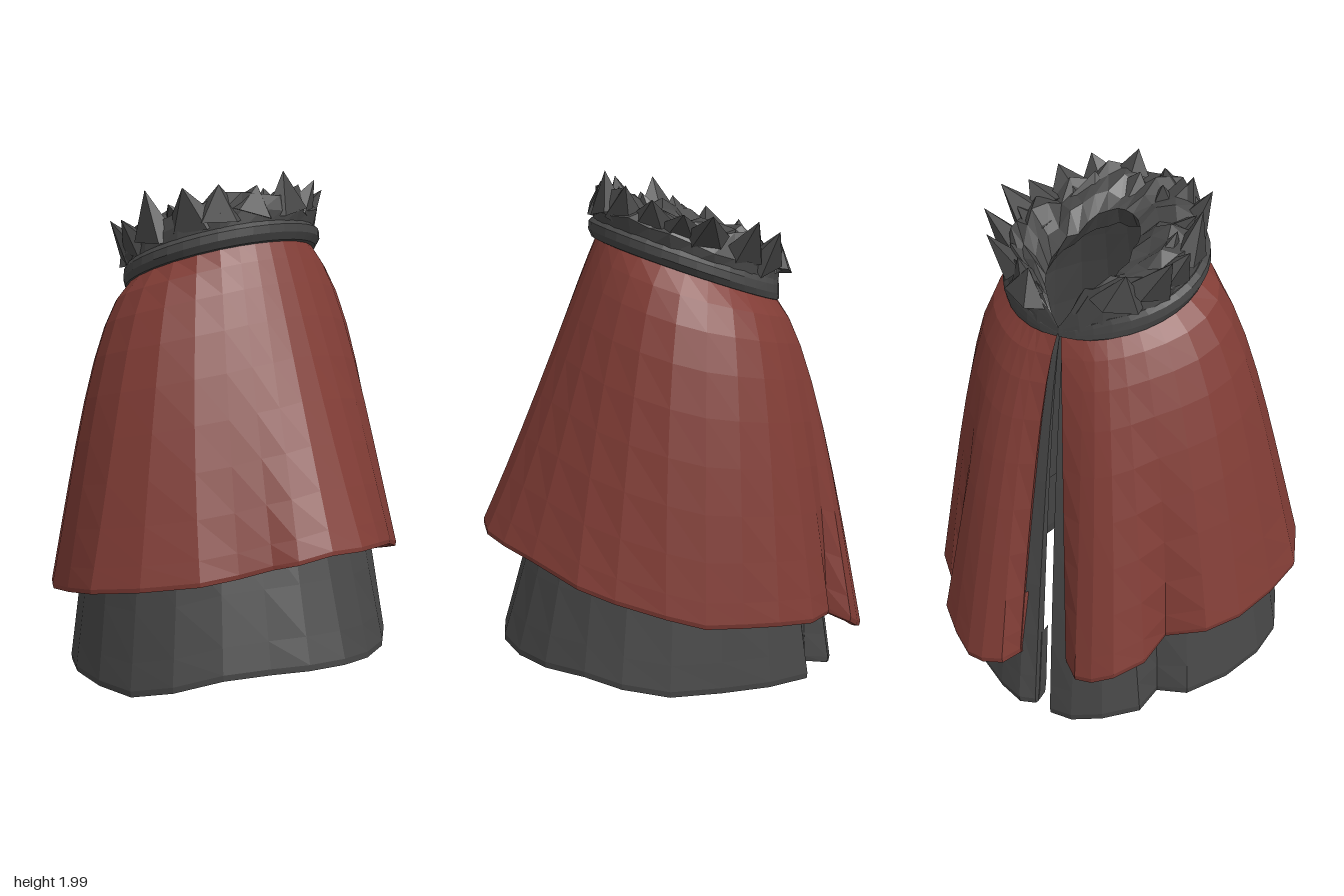
import * as THREE from 'three';
import { mergeGeometries } from 'three/addons/utils/BufferGeometryUtils.js';

const mix = (a, b, t) => a + (b - a) * t;
const TURN = Math.PI * 2;

// Height of the tilted neck plane
const neckY = z => 1.65 + 0.35 * z;

// Point on the neck ellipse, starting at the back opening and passing the model's left
function neck(phi, inset = 0) {
  return [0.06 + (0.37 - inset) * Math.sin(phi), -0.065 - (0.345 - inset) * Math.cos(phi)];
}

// Open surface through a list of rows of points, faceted
function sheet(rows) {
  const n = rows[0].length, pos = [], idx = [];
  rows.forEach(r => r.forEach(p => pos.push(...p)));
  for (let j = 0; j < rows.length - 1; j++) {
    for (let i = 0; i < n - 1; i++) {
      const a = j * n + i, b = a + 1, c = a + n, d = c + 1;
      idx.push(a, b, c, b, d, c);
    }
  }
  const g = new THREE.BufferGeometry();
  g.setAttribute('position', new THREE.Float32BufferAttribute(pos, 3));
  g.setIndex(idx);
  const flat = g.toNonIndexed();
  flat.computeVertexNormals();
  return flat;
}

// Spread of the cloth from neck (0) to hem (1); a small power gives round shoulders
function spread(t, power) {
  const e = 0.03, start = Math.pow(e, power);
  return (Math.pow(t + e, power) - start) / (Math.pow(1 + e, power) - start);
}

// Cloth hanging from the neck to a hem outline; folds fade out upwards
// bulge: powers of the profile at the right side, left side and back
function drape(hem, inset, bulge) {
  const last = hem.length - 1;
  let soft = hem.map(p => [p[0], p[2]]);
  for (let k = 0; k < 3; k++) {
    soft = soft.map((p, i) => (i < 2 || i > last - 2) ? p
      : p.map((v, c) => v / 2 + (soft[i - 1][c] + soft[i + 1][c]) / 4));
  }
  const point = (i, t) => {
    const [hx, hy, hz] = hem[i], [sx, sz] = soft[i];
    // Both edges of the opening meet at the neck
    let phi = (Math.atan2(sx - 0.04, -sz) + TURN) % TURN;
    if (i < 2) phi = 0.01;
    if (i > last - 2) phi = TURN - 0.03;
    const [nx, nz] = neck(phi, inset);
    // Straight at the front, bulging at the sides and back
    const c = sz / Math.hypot(sx, sz);
    const side = mix(bulge[0], bulge[1], THREE.MathUtils.smoothstep(sx, -0.3, 0.3));
    const s = spread(t, mix(side, c > 0 ? 0.95 : bulge[2], c * c));
    return [mix(nx, mix(sx, hx, t * t), s), mix(neckY(nz), hy, t), mix(nz, mix(sz, hz, t * t), s)];
  };
  const row = (t, scale = 1) => hem.map((_, i) => {
    const [x, y, z] = point(i, t);
    return [x * scale, y, z * scale];
  });
  const rows = [0, 0.06, 0.14, 0.25, 0.38, 0.52, 0.66, 0.8, 0.92, 0.985].map(t => row(t));
  // Rounded hem turned to the inside
  rows.push(row(1, 0.99), row(1, 0.965), row(0.97, 0.955), row(0.8, 0.955));
  return sheet(rows);
}

export function createModel() {
  const group = new THREE.Group();
  const red = new THREE.MeshStandardMaterial({ color: 0x823d36, flatShading: true, side: THREE.DoubleSide });
  red.name = 'red cloth';
  const grey = new THREE.MeshStandardMaterial({ color: 0x484848, flatShading: true, side: THREE.DoubleSide });
  grey.name = 'dark grey cloth';
  const add = (name, geo, mat) => {
    const m = new THREE.Mesh(geo, mat);
    m.name = name;
    group.add(m);
  };
  let seed = 7;
  const rnd = () => (seed = (seed * 16807) % 2147483647) / 2147483647;

  // Outer cape hem, from one edge of the back opening round to the other
  add('outerCape', drape([
    [0.14, 0.26, -0.57], [0.12, 0.25, -0.63], [0.16, 0.23, -0.7], [0.24, 0.22, -0.72], [0.31, 0.22, -0.71],
    [0.40, 0.26, -0.66], [0.48, 0.31, -0.6], [0.45, 0.35, -0.51], [0.53, 0.37, -0.49], [0.63, 0.38, -0.39],
    [0.68, 0.4, -0.24], [0.69, 0.41, -0.1], [0.69, 0.42, 0.04], [0.66, 0.46, 0.18], [0.59, 0.51, 0.35],
    [0.51, 0.55, 0.47], [0.34, 0.61, 0.6], [0.2, 0.635, 0.68], [0.07, 0.645, 0.72], [-0.07, 0.65, 0.71],
    [-0.18, 0.62, 0.65], [-0.24, 0.6, 0.58], [-0.34, 0.57, 0.51], [-0.47, 0.55, 0.45], [-0.61, 0.52, 0.28],
    [-0.69, 0.49, 0.09], [-0.67, 0.46, -0.08], [-0.62, 0.43, -0.25], [-0.54, 0.41, -0.37], [-0.4, 0.38, -0.43],
    [-0.38, 0.33, -0.56], [-0.3, 0.29, -0.65], [-0.22, 0.26, -0.68], [-0.15, 0.25, -0.68],
    [-0.07, 0.26, -0.61], [-0.06, 0.27, -0.55],
  ], 0.01, [0.27, 0.1, 0.58]), red);

  // Longer lining underneath
  add('underCape', drape([
    [0.06, 0.04, -0.58], [0.06, 0.03, -0.63], [0.12, 0.03, -0.65], [0.22, 0.05, -0.62], [0.33, 0.09, -0.57],
    [0.36, 0.12, -0.46], [0.48, 0.1, -0.43], [0.57, 0.12, -0.25], [0.6, 0.13, -0.05], [0.61, 0.14, 0.15],
    [0.56, 0.17, 0.32], [0.48, 0.2, 0.44], [0.35, 0.2, 0.56], [0.2, 0.2, 0.63], [0.05, 0.21, 0.66],
    [-0.1, 0.21, 0.63], [-0.22, 0.2, 0.55], [-0.38, 0.19, 0.47], [-0.51, 0.14, 0.34], [-0.58, 0.1, 0.18],
    [-0.59, 0.1, 0], [-0.55, 0.1, -0.2], [-0.46, 0.09, -0.36], [-0.35, 0.09, -0.4], [-0.34, 0.07, -0.52],
    [-0.22, 0.04, -0.6], [-0.1, 0.01, -0.63], [0, 0, -0.62], [0, 0.01, -0.58],
  ], 0.03, [0.2, 0.1, 0.65]), grey);

  // Ring point: k = 0 on the neck line, 1 on the inner opening; h above the neck plane
  const ring = (phi, k, h) => {
    const [ox, oz] = neck(phi);
    const x = mix(ox, 0.05 + 0.14 * Math.sin(phi), k);
    const z = mix(oz, -0.17 - 0.24 * Math.cos(phi), k);
    // The collar sinks into a notch at the opening
    const notch = mix(0.2, 1, THREE.MathUtils.smoothstep(Math.min(phi, TURN - phi), 0, 0.55));
    return [x, neckY(z) + h * notch, z];
  };
  const ringRow = (cols, k, h, jk = 0, jh = 0) => Array.from({ length: cols + 1 }, (_, i) => {
    const phi = mix(0.015, TURN - 0.015, i / cols);
    return ring(phi, k + (rnd() - 0.5) * jk, h + (rnd() - 0.5) * jh);
  });

  // Smooth band at the foot of the collar
  add('collarBand', sheet([
    [0.1, -0.01], [-0.03, -0.005], [-0.09, 0.02], [-0.08, 0.05], [0, 0.07], [0.15, 0.07],
  ].map(([k, h]) => ringRow(36, k, h))), grey);

  // Ragged fur ruff: raised top, overhanging the opening, open hollow beneath
  add('furCollar', sheet([
    [0, 0.05, 0, 0], [-0.02, 0.11, 0.14, 0.03], [0.1, 0.18, 0.18, 0.08], [0.4, 0.19, 0.15, 0.06],
    [0.72, 0.17, 0.12, 0.05], [1, 0.14, 0.06, 0.03], [0.85, 0.07, 0.05, 0.02], [0.25, 0, 0, 0],
  ].map(r => ringRow(28, ...r))), grey);

  // Fur clumps: broad flattened tufts, upright at the front, leaning outwards at the sides
  const clumps = [];
  const up = new THREE.Vector3(0, 1, 0);
  [[15, 0.15, 0.135], [9, 0.45, 0.1]].forEach(([count, k, length]) => {
    for (let i = 0; i < count; i++) {
      const phi = mix(0.45, TURN - 0.45, (i + rnd() * 0.6) / count);
      const sideways = Math.sin(phi) ** 2;
      const lean = 0.1 + sideways * (0.85 + 0.35 * Math.sin(phi));
      const len = length * (0.75 + 0.4 * rnd()) * (1 + 0.3 * sideways);
      const dir = new THREE.Vector3(Math.sin(phi) * lean + (rnd() - 0.5) * 0.7, 0.9, -Math.cos(phi) * lean * 0.5);
      const g = new THREE.ConeGeometry(0.11, len, 5);
      g.translate(0, len / 2 - 0.02, 0);
      g.scale(1, 1, 0.55);
      g.rotateY(-phi);
      g.applyQuaternion(new THREE.Quaternion().setFromUnitVectors(up, dir.normalize()));
      g.translate(...ring(phi, k, 0.13));
      const flat = g.toNonIndexed();
      flat.computeVertexNormals();
      flat.deleteAttribute('uv');
      clumps.push(flat);
    }
  });
  add('furClumps', mergeGeometries(clumps), grey);

  return group;
}
